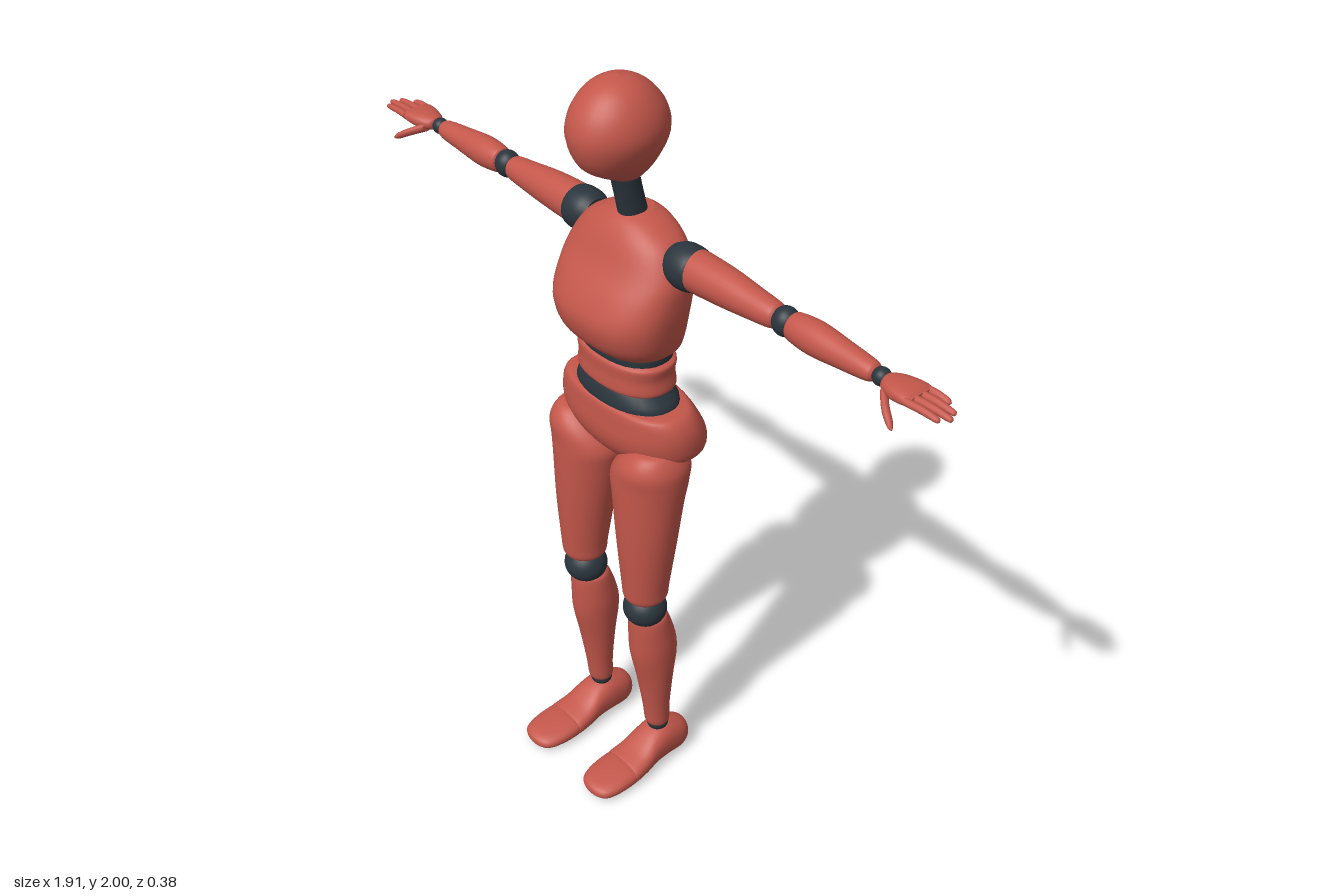
import * as THREE from 'three';

const red = new THREE.MeshStandardMaterial({ color: 0xc4574b });
red.name = 'coralRed';
const dark = new THREE.MeshStandardMaterial({ color: 0x2b353d });
dark.name = 'jointDark';

// Smooth tube through sections [t, a, b, ra, rb, n]: t runs along the axis, (a, b) is the
// centre on the next two axes in x-y-z order, ra/rb the radii, n the superellipse exponent.
function loft(axis, sections, sides = 32, steps = 4) {
  const list = sections[0][0] < sections[sections.length - 1][0] ? sections : [...sections].reverse();
  const centre = new THREE.CatmullRomCurve3(list.map(s => new THREE.Vector3(s[0], s[1], s[2])), false, 'catmullrom', 0.5);
  const size = new THREE.CatmullRomCurve3(list.map(s => new THREE.Vector3(s[3], s[4], s[5] ?? 2)), false, 'catmullrom', 0.5);
  const rows = (list.length - 1) * steps;
  const pos = [], index = [];
  const k = 'xyz'.indexOf(axis);
  const push = (t, a, b) => {
    const p = [0, 0, 0];
    p[k] = t; p[(k + 1) % 3] = a; p[(k + 2) % 3] = b;
    pos.push(...p);
  };
  const ring = i => {
    const c = centre.getPoint(i / rows), r = size.getPoint(i / rows);
    for (let j = 0; j < sides; j++) {
      const th = j / sides * Math.PI * 2, co = Math.cos(th), si = Math.sin(th);
      push(c.x,
        c.y + Math.max(r.x, 0.001) * Math.sign(co) * Math.abs(co) ** (2 / r.z),
        c.z + Math.max(r.y, 0.001) * Math.sign(si) * Math.abs(si) ** (2 / r.z));
    }
    return c;
  };
  for (let i = 0; i <= rows; i++) ring(i);
  for (let i = 0; i < rows; i++) {
    for (let j = 0; j < sides; j++) {
      const a = i * sides + j, b = i * sides + (j + 1) % sides;
      index.push(a, b, b + sides, a, b + sides, a + sides);
    }
  }
  // flat end caps
  for (const end of [0, rows]) {
    const start = pos.length / 3, c = ring(end);
    push(c.x, c.y, c.z);
    for (let j = 0; j < sides; j++) {
      const a = start + j, b = start + (j + 1) % sides;
      index.push(start + sides, ...(end ? [a, b] : [b, a]));
    }
  }
  const g = new THREE.BufferGeometry();
  g.setAttribute('position', new THREE.Float32BufferAttribute(pos, 3));
  g.setIndex(index);
  g.computeVertexNormals();
  return g;
}

function mirrored(geometry) {
  const g = geometry.clone().scale(-1, 1, 1), ix = g.index.array;
  for (let i = 0; i < ix.length; i += 3) [ix[i + 1], ix[i + 2]] = [ix[i + 2], ix[i + 1]];
  return g;
}

const ball = (x, y, z, rx, ry, rz) => new THREE.SphereGeometry(1, 28, 18).scale(rx, ry, rz).translate(x, y, z);

export function createModel() {
  const model = new THREE.Group();
  model.name = 'mannequin';
  const add = (name, geometry, material) => {
    const mesh = new THREE.Mesh(geometry, material);
    mesh.name = name;
    model.add(mesh);
  };
  const pair = (name, geometry, material) => {
    add(name + 'Left', geometry, material);
    add(name + 'Right', mirrored(geometry), material);
  };

  // Head and leaning neck
  add('head', loft('y', [
    [1.742, -0.036, 0, 0.012, 0.01], [1.755, -0.034, 0, 0.042, 0.036], [1.80, -0.016, 0, 0.1, 0.074],
    [1.865, -0.013, 0, 0.125, 0.104], [1.92, -0.013, 0, 0.115, 0.099], [1.965, -0.012, 0, 0.082, 0.073],
    [1.99, -0.012, 0, 0.044, 0.04], [2.0, -0.012, 0, 0.002, 0.002]]), red);
  add('neck', loft('y', [[1.63, -0.064, 0, 0.037, 0.035], [1.70, -0.046, 0, 0.035, 0.033], [1.78, -0.026, 0, 0.035, 0.033]]), dark);

  // Chest
  add('chest', loft('y', [
    [1.325, -0.042, 0, 0.08, 0.12, 2.3], [1.335, -0.038, 0, 0.1, 0.143, 2.4], [1.37, -0.025, 0, 0.117, 0.162, 2.5],
    [1.43, -0.021, 0, 0.127, 0.174, 2.5], [1.49, -0.034, 0, 0.117, 0.179, 2.5], [1.55, -0.052, 0, 0.098, 0.175, 2.4],
    [1.61, -0.064, 0, 0.082, 0.142, 2.3], [1.645, -0.07, 0, 0.064, 0.088, 2.2], [1.662, -0.072, 0, 0.04, 0.04]], 40), red);

  // Waist segments
  add('upperWaistRing', loft('y', [[1.29, -0.042, 0, 0.082, 0.125, 2.3], [1.315, -0.042, 0, 0.085, 0.128, 2.3], [1.34, -0.042, 0, 0.082, 0.125, 2.3]]), dark);
  add('waist', loft('y', [
    [1.222, -0.042, 0, 0.08, 0.126, 2.3], [1.23, -0.042, 0, 0.09, 0.139, 2.3], [1.265, -0.041, 0, 0.088, 0.135, 2.3],
    [1.296, -0.041, 0, 0.089, 0.14, 2.3], [1.305, -0.041, 0, 0.08, 0.13, 2.3]]), red);
  add('lowerWaistRing', loft('y', [[1.17, -0.046, 0, 0.092, 0.152, 2.2], [1.19, -0.045, 0, 0.092, 0.148, 2.2], [1.215, -0.043, 0, 0.085, 0.125, 2.2], [1.23, -0.042, 0, 0.075, 0.11, 2.2]]), dark);

  // Pelvis
  add('pelvis', loft('y', [
    [1.18, -0.045, 0, 0.082, 0.155, 2.3], [1.174, -0.047, 0, 0.098, 0.19, 2.3], [1.14, -0.056, 0, 0.11, 0.211, 2.3],
    [1.095, -0.067, 0, 0.122, 0.215, 2.3], [1.055, -0.072, 0, 0.116, 0.202, 2.2], [1.02, -0.072, 0, 0.09, 0.142],
    [1.005, -0.07, 0, 0.052, 0.07]], 40), red);

  // Legs
  pair('thigh', loft('y', [
    [1.088, -0.015, 0.145, 0.02, 0.02], [1.078, -0.015, 0.142, 0.062, 0.05], [1.04, -0.018, 0.13, 0.09, 0.084, 2.1],
    [0.99, -0.018, 0.114, 0.091, 0.101, 2.1], [0.93, -0.014, 0.114, 0.087, 0.095], [0.8, -0.008, 0.118, 0.077, 0.078],
    [0.66, -0.004, 0.12, 0.063, 0.06], [0.62, -0.004, 0.12, 0.058, 0.056], [0.606, -0.004, 0.12, 0.045, 0.044]]), red);
  pair('knee', ball(0.118, 0.57, -0.005, 0.058, 0.052, 0.057), dark);
  pair('shin', loft('y', [
    [0.545, -0.016, 0.116, 0.04, 0.045], [0.53, -0.019, 0.116, 0.051, 0.055], [0.46, -0.032, 0.116, 0.063, 0.06],
    [0.40, -0.038, 0.117, 0.065, 0.058], [0.31, -0.043, 0.118, 0.05, 0.049], [0.2, -0.05, 0.118, 0.037, 0.037],
    [0.14, -0.055, 0.118, 0.034, 0.033], [0.128, -0.056, 0.118, 0.026, 0.026]]), red);
  pair('ankle', ball(0.118, 0.125, -0.057, 0.03, 0.026, 0.03), dark);
  pair('foot', loft('z', [
    [-0.152, 0.118, 0.045, 0.012, 0.014], [-0.145, 0.118, 0.047, 0.032, 0.037, 2.2], [-0.115, 0.118, 0.051, 0.046, 0.051, 2.4],
    [-0.065, 0.118, 0.059, 0.05, 0.058, 2.4], [-0.02, 0.119, 0.053, 0.052, 0.052, 2.4], [0.025, 0.12, 0.037, 0.058, 0.036, 2.5],
    [0.07, 0.121, 0.029, 0.062, 0.027, 2.6], [0.073, 0.121, 0.028, 0.056, 0.022, 2.6]]), red);
  pair('toes', loft('z', [
    [0.071, 0.121, 0.028, 0.056, 0.022, 2.6], [0.076, 0.121, 0.028, 0.062, 0.027, 2.6], [0.13, 0.122, 0.025, 0.061, 0.024, 2.5],
    [0.17, 0.123, 0.022, 0.05, 0.019, 2.4], [0.186, 0.123, 0.021, 0.029, 0.012], [0.19, 0.123, 0.021, 0.006, 0.004]]), red);

  // Arms
  pair('shoulder', loft('x', [
    [0.135, 1.582, -0.066, 0.042, 0.042], [0.155, 1.582, -0.066, 0.052, 0.052], [0.18, 1.582, -0.066, 0.055, 0.055],
    [0.205, 1.582, -0.066, 0.052, 0.052], [0.216, 1.582, -0.066, 0.042, 0.042]]), dark);
  pair('upperArm', loft('x', [
    [0.185, 1.584, -0.067, 0.044, 0.04], [0.2, 1.584, -0.067, 0.05, 0.049], [0.3, 1.584, -0.068, 0.046, 0.045],
    [0.39, 1.582, -0.069, 0.037, 0.037], [0.445, 1.581, -0.07, 0.031, 0.031], [0.458, 1.581, -0.07, 0.024, 0.024]], 28), red);
  pair('elbow', ball(0.48, 1.581, -0.07, 0.032, 0.035, 0.032), dark);
  pair('forearm', loft('x', [
    [0.499, 1.581, -0.07, 0.026, 0.025], [0.51, 1.581, -0.07, 0.034, 0.033], [0.57, 1.581, -0.07, 0.039, 0.038],
    [0.65, 1.581, -0.069, 0.032, 0.032], [0.725, 1.581, -0.068, 0.024, 0.025], [0.74, 1.581, -0.068, 0.016, 0.017]], 28), red);
  pair('wrist', ball(0.755, 1.581, -0.068, 0.021, 0.021, 0.021), dark);

  // Hands
  pair('palm', loft('x', [
    [0.768, 1.582, -0.067, 0.012, 0.014], [0.776, 1.582, -0.066, 0.017, 0.026], [0.805, 1.584, -0.064, 0.02, 0.038, 2.4],
    [0.845, 1.587, -0.064, 0.016, 0.043, 2.6], [0.862, 1.587, -0.065, 0.009, 0.038, 2.6]], 24), red);
  const fingers = [[0.912, -0.098, -0.096], [0.943, -0.076, -0.074], [0.953, -0.054, -0.051], [0.938, -0.033, -0.028]];
  fingers.forEach(([tip, tipZ, baseZ], i) => {
    pair('finger' + (i + 1), loft('x', [
      [0.85, 1.588, baseZ, 0.009, 0.009], [(0.85 + tip) / 2, 1.588, (baseZ + tipZ) / 2, 0.0085, 0.0085],
      [tip - 0.007, 1.584, tipZ, 0.007, 0.007], [tip, 1.583, tipZ, 0.002, 0.002]], 12, 3), red);
  });
  pair('thumb', loft('x', [
    [0.783, 1.575, -0.045, 0.012, 0.013], [0.815, 1.56, -0.015, 0.011, 0.012],
    [0.845, 1.543, 0.002, 0.009, 0.009], [0.856, 1.537, 0.008, 0.002, 0.002]], 12, 3), red);

  return model;
}
